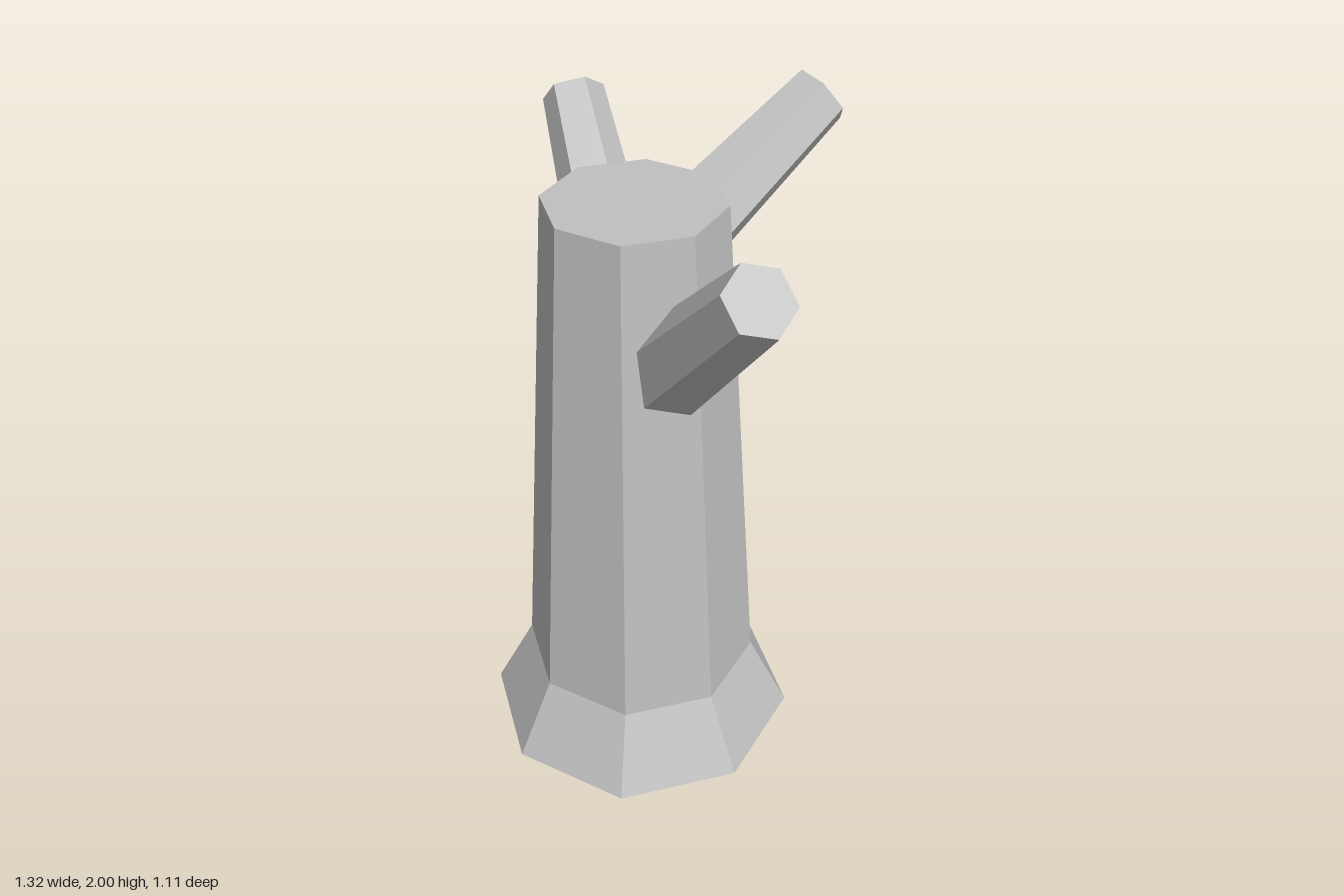
import * as THREE from 'three';

const bark = new THREE.MeshStandardMaterial({ color: 0xc0c0c0, flatShading: true });
bark.name = 'grey bark';

function addPart(group, name, geometry) {
  const faceted = geometry.toNonIndexed();
  faceted.computeVertexNormals();
  const mesh = new THREE.Mesh(faceted, bark);
  mesh.name = name;
  group.add(mesh);
  return mesh;
}

// Tapered six-sided limb from base to tip; corner is the direction of one of its corners.
function addBranch(group, name, base, tip, baseRadius, tipRadius, corner) {
  const start = new THREE.Vector3(...base);
  const end = new THREE.Vector3(...tip);
  const axis = end.clone().sub(start);
  const length = axis.length();
  axis.normalize();
  const z = new THREE.Vector3(...corner);
  z.addScaledVector(axis, -z.dot(axis)).normalize();
  const x = new THREE.Vector3().crossVectors(axis, z);
  const mesh = addPart(group, name, new THREE.CylinderGeometry(tipRadius, baseRadius, length, 6));
  mesh.quaternion.setFromRotationMatrix(new THREE.Matrix4().makeBasis(x, axis, z));
  mesh.position.copy(start).lerp(end, 0.5);
}

export function createModel() {
  const group = new THREE.Group();
  group.name = 'treeStump';

  // Eight-sided trunk with a flared foot and a flat cut top
  const profile = [[0, 0], [0.475, 0], [0.355, 0.24], [0.25, 1.78], [0, 1.78]]
    .map(([r, y]) => new THREE.Vector2(r, y));
  const trunk = addPart(group, 'trunk', new THREE.LatheGeometry(profile, 8));
  trunk.position.set(-0.035, 0, 0.08);

  // Three cut branches, sunk into the trunk
  addBranch(group, 'leftBranch', [0.08, 1.295, 0.095], [0.587, 1.81, 0.197], 0.14, 0.0975, [-0.7, 0.7, 0]);
  addBranch(group, 'rightBranch', [-0.12, 1.385, 0.055], [-0.597, 1.84, -0.13], 0.122, 0.09, [0.66, 0.75, 0]);
  addBranch(group, 'backBranch', [-0.026, 1.61, -0.04], [0.023, 1.935, -0.515], 0.12, 0.088, [1, -0.12, 0]);

  return group;
}
